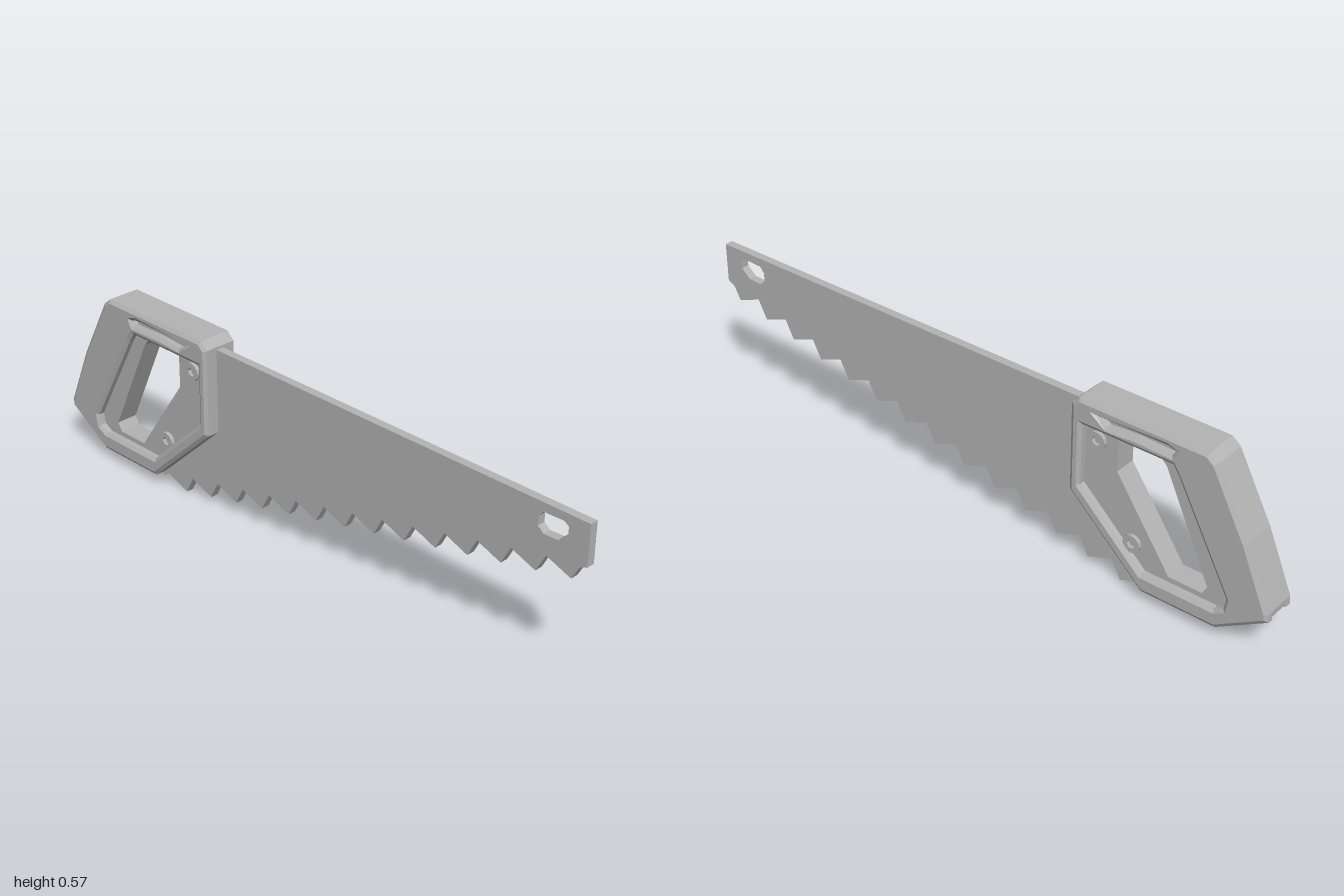
import * as THREE from 'three';

// Profiles are drawn as [z, y] pairs and extruded across x.
const toPoints = (pairs) => pairs.map(([z, y]) => new THREE.Vector2(z, y));

function extrudeProfile(outline, holes, x0, x1, bevel = 0) {
  const shape = new THREE.Shape(toPoints(outline));
  holes.forEach((h) => shape.holes.push(new THREE.Path(toPoints(h))));
  const t = bevel * 0.7;
  const geo = new THREE.ExtrudeGeometry(shape, {
    depth: x1 - x0 - 2 * t,
    bevelEnabled: bevel > 0,
    bevelSize: bevel,
    bevelOffset: -bevel,
    bevelThickness: t,
    bevelSegments: 1,
  });
  geo.translate(0, 0, t - x1);
  geo.rotateY(-Math.PI / 2);
  // after the turn the old depth runs along -x, so it now spans x0..x1
  return geo;
}

export function createModel() {
  const saw = new THREE.Group();
  saw.name = 'handSaw';
  const grey = new THREE.MeshStandardMaterial({ color: 0xb4b4b4, flatShading: true });
  grey.name = 'grey';

  const add = (name, geo, parent = saw) => {
    const mesh = new THREE.Mesh(geo, grey);
    mesh.name = name;
    parent.add(mesh);
    return mesh;
  };

  // Blade with raked teeth and a hanging hole
  const blade = [[-0.45, 0.535], [1, 0.535], [1, 0.41], [0.977, 0.4]];
  for (let i = 0; i < 14; i++) {
    const z = 0.954 - i * 0.1123;
    const y = 0.357 - i * 0.02746;
    blade.push([z, y], [z - 0.082, y + 0.031]);
  }
  blade.push([-0.61, 0.016], [-0.635, 0.06], [-0.62, 0.08], [-0.45, 0.3]);
  const hangHole = [[0.935, 0.5], [0.92, 0.51], [0.855, 0.508], [0.84, 0.49],
    [0.84, 0.462], [0.86, 0.446], [0.905, 0.448], [0.935, 0.475]];
  add('blade', extrudeProfile(blade, [hangHole], -0.014, 0.012));

  // Handle profiles
  const rim = [[-0.352, 0.543], [-0.376, 0.567], [-0.784, 0.567], [-0.811, 0.545],
    [-0.918, 0.345], [-0.998, 0.158], [-1, 0.133], [-0.843, 0.036], [-0.602, 0.036], [-0.354, 0.265]];
  const gripHole = [[-0.495, 0.479], [-0.624, 0.484], [-0.65, 0.457], [-0.8, 0.136],
    [-0.784, 0.11], [-0.677, 0.11], [-0.495, 0.372]];
  const recess = [[-0.388, 0.487], [-0.68, 0.487], [-0.7, 0.457], [-0.87, 0.145],
    [-0.863, 0.11], [-0.835, 0.094], [-0.602, 0.094], [-0.388, 0.293]];
  const topSlot = [[-0.43, 0.535], [-0.66, 0.537], [-0.685, 0.53], [-0.675, 0.515],
    [-0.56, 0.518], [-0.47, 0.512]];

  const handle = new THREE.Group();
  handle.name = 'handle';
  saw.add(handle);

  // Core: inset along the underside to leave a groove between the side plates
  const core = [...rim.slice(0, 6), [-0.998, 0.14], [-0.975, 0.148],
    [-0.835, 0.07], [-0.66, 0.07], [-0.64, 0.036], ...rim.slice(8)];
  add('handleCore', extrudeProfile(core, [gripHole], -0.035, 0.035), handle);

  // Mirrored side plates and screws
  for (const side of [1, -1]) {
    const name = side > 0 ? 'left' : 'right';
    const [a, b] = side > 0 ? [0.027, 0.0595] : [-0.0595, -0.027];
    add(name + 'SidePlate', extrudeProfile(rim, [recess, topSlot], a, b, 0.011), handle);

    for (const [z, y] of [[-0.43, 0.447], [-0.558, 0.168]]) {
      const ring = (r, n) => Array.from({ length: n }, (_, i) => {
        const t = (i / n) * Math.PI * 2;
        return [z + r * Math.cos(t), y + r * Math.sin(t)];
      });
      const [c, d] = side > 0 ? [0.034, 0.046] : [-0.046, -0.034];
      add(name + 'Screw', extrudeProfile(ring(0.028, 12), [ring(0.014, 6)], c, d), handle);
    }
  }
  return saw;
}
